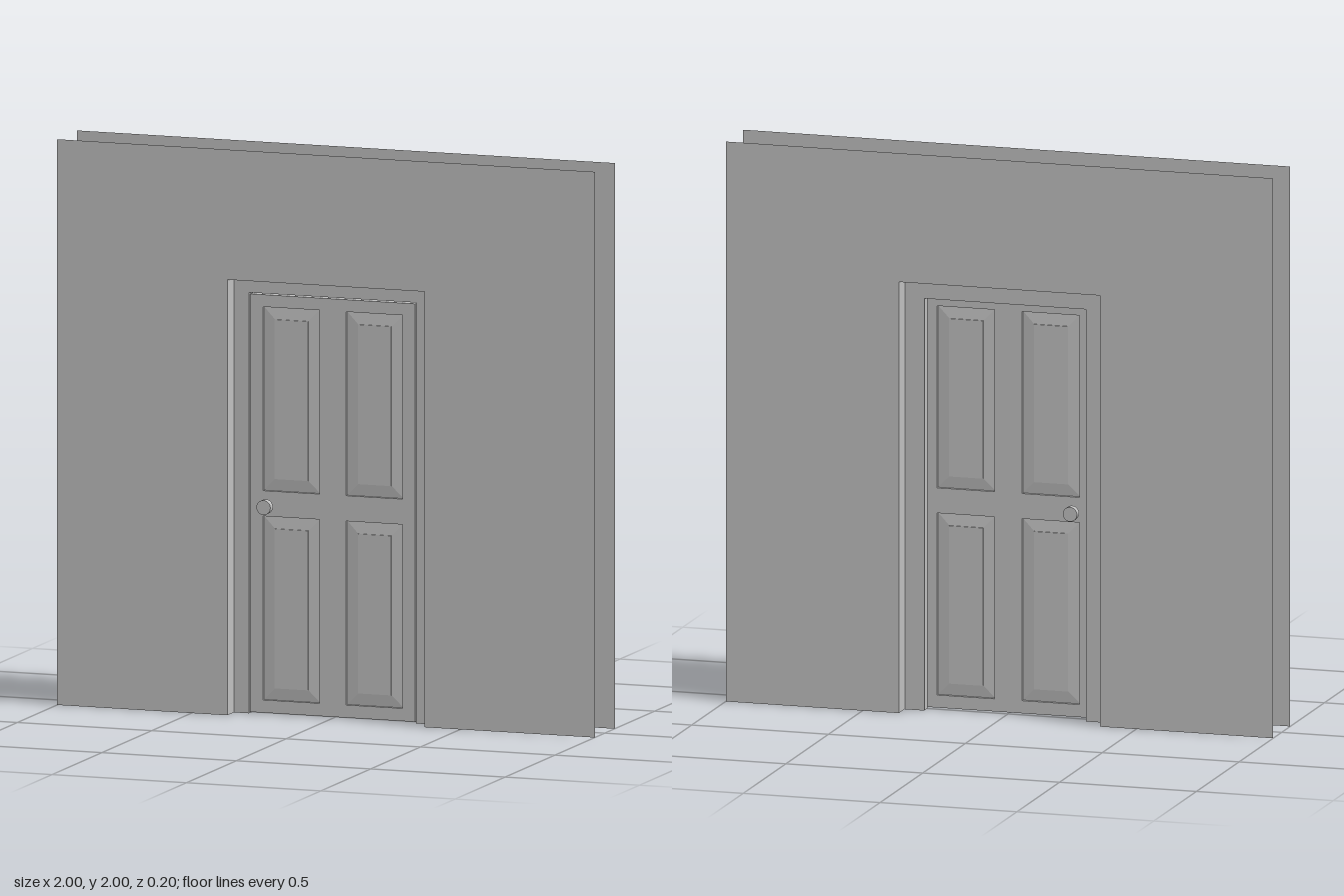
import * as THREE from 'three';

const OPEN_X = 0.367, OPEN_Y = 1.54, WALL_Z = 0.1;
const DOOR_MID = 0.018, DOOR_HALF = 0.015;

// Upside-down U outline standing on y = 0
function archShape(outerX, outerY, innerX, innerY) {
  return new THREE.Shape([
    [-outerX, 0], [-innerX, 0], [-innerX, innerY], [innerX, innerY],
    [innerX, 0], [outerX, 0], [outerX, outerY], [-outerX, outerY],
  ].map(([x, y]) => new THREE.Vector2(x, y)));
}

function extrude(shape, z0, z1) {
  const geo = new THREE.ExtrudeGeometry(shape, { depth: z1 - z0, bevelEnabled: false });
  return geo.translate(0, 0, z0);
}

// Raised field: sloped border, small shoulder and flat centre
function raisedPanelGeometry(w, h) {
  const rings = [[0, 0.004], [0.043, 0.009], [0.043, 0.0135]].map(([inset, z]) => {
    const x = w / 2 - inset, y = h / 2 - inset;
    return [[-x, -y, z], [x, -y, z], [x, y, z], [-x, y, z]];
  });
  const pos = [];
  const quad = (a, b, c, d) => pos.push(...a, ...b, ...c, ...a, ...c, ...d);
  for (let r = 0; r < 2; r++) {
    for (let i = 0; i < 4; i++) {
      const j = (i + 1) % 4;
      quad(rings[r][i], rings[r][j], rings[r + 1][j], rings[r + 1][i]);
    }
  }
  quad(...rings[2]);
  const geo = new THREE.BufferGeometry();
  geo.setAttribute('position', new THREE.Float32BufferAttribute(pos, 3));
  geo.computeVertexNormals();
  return geo;
}

export function createModel() {
  const model = new THREE.Group();
  const grey = new THREE.MeshStandardMaterial({ color: 0xbfbfbf, side: THREE.DoubleSide });
  grey.name = 'plain grey';

  const add = (parent, name, geo) => {
    const mesh = new THREE.Mesh(geo, grey);
    mesh.name = name;
    parent.add(mesh);
    return mesh;
  };

  // Wall: two thin sheets with a doorway
  const wall = archShape(1, 2, OPEN_X, OPEN_Y);
  add(model, 'frontWall', new THREE.ShapeGeometry(wall)).position.z = WALL_Z;
  add(model, 'backWall', new THREE.ShapeGeometry(wall).rotateY(Math.PI)).position.z = -WALL_Z;

  // Lining between the sheets
  for (const s of [-1, 1]) {
    const side = add(model, s > 0 ? 'leftReveal' : 'rightReveal',
      new THREE.PlaneGeometry(WALL_Z * 2, OPEN_Y));
    side.rotation.y = -s * Math.PI / 2;
    side.position.set(s * OPEN_X, OPEN_Y / 2, 0);
  }
  const top = add(model, 'topReveal', new THREE.PlaneGeometry(OPEN_X * 2, WALL_Z * 2));
  top.rotation.x = Math.PI / 2;
  top.position.y = OPEN_Y;

  // Frame and the stop the door closes against
  add(model, 'doorFrame',
    extrude(archShape(OPEN_X - 0.001, OPEN_Y - 0.001, 0.311, 1.488), -0.035, 0.035));
  add(model, 'doorStop', extrude(archShape(0.311, 1.488, 0.295, 1.472), -0.035, 0.002));

  // Door leaf with four panel openings
  const door = new THREE.Group();
  door.name = 'door';
  door.position.z = DOOR_MID;
  model.add(door);
  const rect = (T, x0, y0, x1, y1) => new T([
    new THREE.Vector2(x0, y0), new THREE.Vector2(x1, y0),
    new THREE.Vector2(x1, y1), new THREE.Vector2(x0, y1),
  ]);
  const leaf = rect(THREE.Shape, -0.307, 0.005, 0.307, 1.483);
  const panels = [];
  for (const x of [-0.155, 0.155]) {
    for (const [y0, y1] of [[0.05, 0.7], [0.79, 1.44]]) {
      leaf.holes.push(rect(THREE.Path, x - 0.105, y0, x + 0.105, y1));
      panels.push([x, (y0 + y1) / 2, y1 - y0]);
    }
  }
  add(door, 'doorLeaf', extrude(leaf, -DOOR_HALF, DOOR_HALF));

  // Panels and knobs on both faces
  const knobProfile = [[0, 0], [0.012, 0], [0.012, 0.022], [0.026, 0.022], [0.026, 0.048], [0, 0.048]];
  for (const s of [1, -1]) {
    const label = s > 0 ? 'front' : 'back';
    const turn = s > 0 ? 0 : Math.PI;
    for (const [x, y, h] of panels) {
      const panel = add(door, label + 'Panel', raisedPanelGeometry(0.21, h));
      panel.position.set(x, y, 0);
      panel.rotation.y = turn;
    }
    const knob = new THREE.Group();
    knob.name = label + 'Knob';
    knob.position.set(-0.24, 0.738, s * DOOR_HALF);
    knob.rotation.y = turn;
    door.add(knob);
    const points = knobProfile.map(([r, z]) => new THREE.Vector2(r, z));
    // Separate segments keep the rims sharp
    for (let i = 1; i < points.length - 1; i++) {
      add(knob, 'knobSurface',
        new THREE.LatheGeometry([points[i], points[i + 1]], 20).rotateX(Math.PI / 2));
    }
  }
  return model;
}
